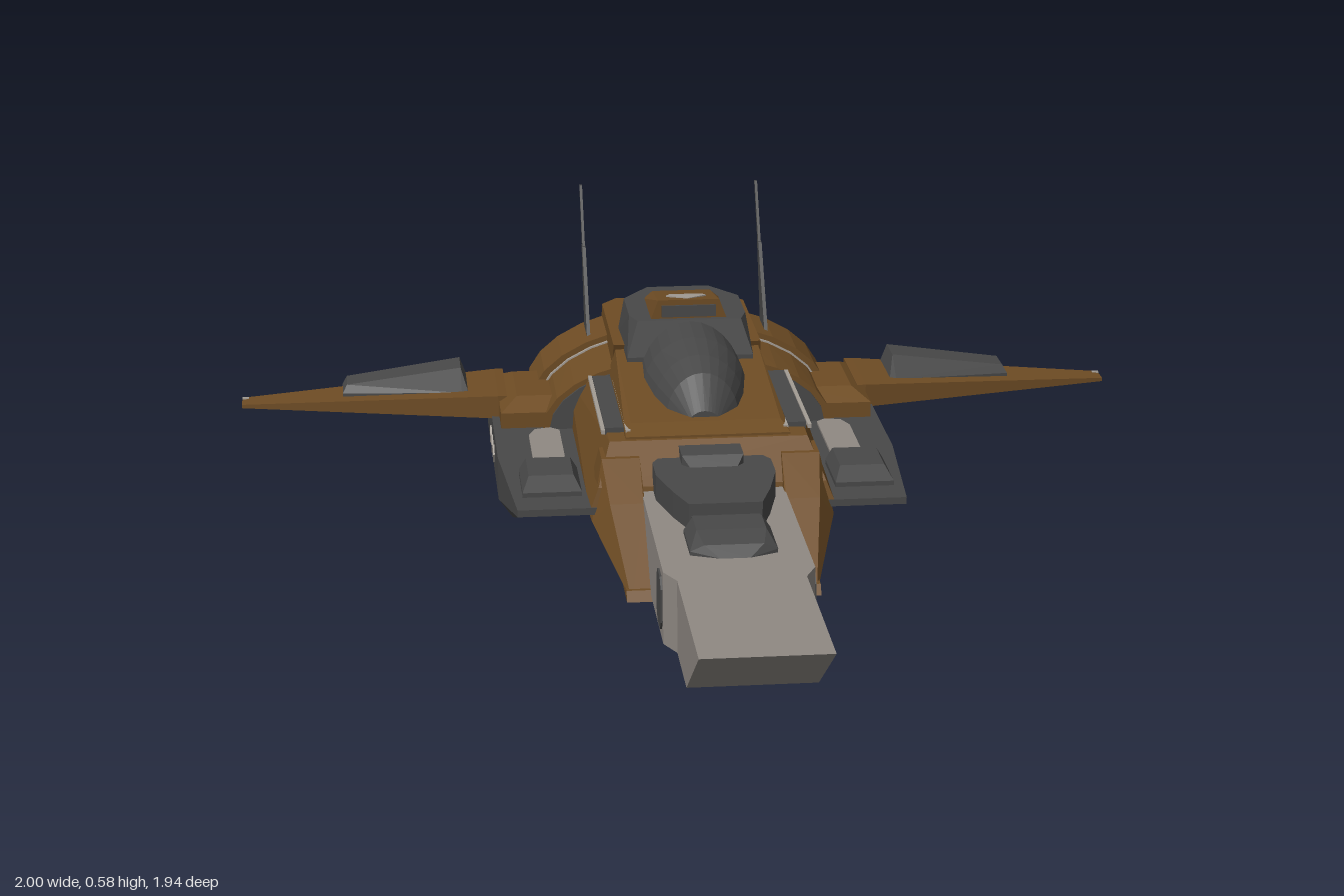
import * as THREE from 'three';
import { ConvexGeometry } from 'three/addons/geometries/ConvexGeometry.js';

const paint = (name, color) => {
  const m = new THREE.MeshStandardMaterial({ color });
  m.name = name;
  return m;
};

export function createModel() {
  const model = new THREE.Group();
  const brown = paint('brown hull', 0x6e4c24);
  const dark = paint('dark grey armour', 0x484848);
  const light = paint('light grey metal', 0x8f8983);
  const trim = paint('pale trim', 0xa39c94);

  // Convex faceted solid from corner points
  const solid = (name, mat, pts) => {
    const mesh = new THREE.Mesh(new ConvexGeometry(pts.map(p => new THREE.Vector3(...p))), mat);
    mesh.name = name;
    model.add(mesh);
  };
  // Same solid on both sides
  const pair = (name, mat, pts) => {
    solid(name + 'Left', mat, pts);
    solid(name + 'Right', mat, pts.map(([x, y, z]) => [-x, y, z]));
  };
  // Side profile of [z, y] points spanning x0..x1
  const slab = (x0, x1, prof) => prof.flatMap(([z, y]) => [[x0, y, z], [x1, y, z]]);
  // Plan outline of [x, z] points spanning y0..y1
  const plan = (y0, y1, outline) => outline.flatMap(([x, z]) => [[x, y0, z], [x, y1, z]]);
  const box = (x0, x1, y0, y1, z0, z1) => slab(x0, x1, [[z0, y0], [z0, y1], [z1, y0], [z1, y1]]);
  // Half-ellipse cross-section at z
  const arch = (w, y0, y1, z, n = 14) => Array.from({ length: n + 1 }, (_, i) => {
    const a = Math.PI * i / n;
    return [w * Math.cos(a), y0 + (y1 - y0) * Math.sin(a), z];
  });
  const both = (pts) => [...pts, ...pts.map(([x, y, z]) => [-x, y, z])];

  // Prow blade
  solid('prowBase', light, both(box(0.1, 0.15, 0.01, 0.16, -0.1, 0.51)));
  solid('prowTaper', light, both([
    [0.15, 0.01, 0.51], [0.15, 0.16, 0.51], [0.127, 0.01, 0.56], [0.127, 0.16, 0.56]]));
  solid('prowTip', light, both([
    [0.127, 0.01, 0.56], [0.127, 0.16, 0.56], [0.127, 0.01, 0.74], [0.127, 0.16, 0.97]]));
  pair('prowHatch', dark, plan(0, 0, []).concat(
    slab(0.148, 0.154, [[0.41, 0.05], [0.43, 0.03], [0.48, 0.03], [0.5, 0.05],
      [0.5, 0.12], [0.48, 0.14], [0.43, 0.14], [0.41, 0.12]])));

  // Belly plate and sloped cheeks beside the prow
  solid('bellyPlate', brown, both([
    [0.2, 0, 0.25], [0.2, 0, -0.67], [0.2, 0.04, -0.67], [0.2, 0.02, 0.235]]));
  pair('cheek', brown, [
    [0.14, 0, 0.25], [0.19, 0, 0.25], [0.2, 0, -0.1], [0.14, 0, -0.1],
    [0.15, 0.15, 0.07], [0.22, 0.15, 0.07], [0.255, 0.1, 0.03], [0.26, 0.1, -0.1],
    [0.15, 0.22, -0.02], [0.23, 0.22, -0.02], [0.23, 0.22, -0.1], [0.15, 0.22, -0.1]]);

  // Wide lower deck with two forward pods
  solid('lowerDeck', dark, both(box(0.2, 0.435, 0.035, 0.13, -0.88, -0.32)));
  pair('deckPod', dark, [
    ...slab(0.2, 0.41, [[0.03, 0.13], [0.03, 0.115], [-0.2, 0.035]]),
    ...slab(0.2, 0.435, [[-0.32, 0.035], [-0.32, 0.13]])]);
  pair('podBox', dark, [
    ...box(0.27, 0.395, 0.13, 0.14, -0.21, -0.05), ...box(0.285, 0.38, 0.13, 0.165, -0.21, -0.09)]);
  const patch = [[0.29, -0.49], [0.31, -0.51], [0.345, -0.5], [0.36, -0.46],
    [0.36, -0.27], [0.34, -0.23], [0.31, -0.23], [0.29, -0.26]];
  pair('deckPatch', light, plan(0.128, 0.136, patch));
  pair('undersidePatch', light, plan(0.031, 0.037, patch));
  for (const z of [-0.51, -0.58, -0.65]) {
    pair('sideLamp', trim, slab(0.432, 0.439, [[z - 0.014, 0.08], [z, 0.1], [z + 0.014, 0.08], [z, 0.058]]));
  }

  // Main hull, stepped up toward the stern
  solid('mainHull', brown, both([
    ...slab(0, 0.26, [[0.03, 0.12], [-0.7, 0.12]]),
    [0.24, 0.17, 0.02], [0.255, 0.19, -0.7],
    [0.21, 0.245, -0.06], [0.22, 0.25, -0.7]]));
  solid('cockpitDeck', brown, both([
    ...box(0, 0.175, 0.2, 0.25, -0.54, -0.07), [0.16, 0.265, -0.12], [0.16, 0.31, -0.54]]));
  pair('sideRail', dark, [...box(0.175, 0.215, 0.24, 0.256, -0.5, -0.12)]);
  pair('deckTrim', trim, box(0.216, 0.224, 0.248, 0.257, -0.5, -0.1));
  pair('innerTrim', trim, box(0.163, 0.173, 0.25, 0.259, -0.45, -0.09));
  solid('frontTrim', trim, box(-0.17, 0.17, 0.248, 0.256, -0.1, -0.09));

  // Arched engine housing
  solid('engineArchFront', brown, [...arch(0.325, 0.13, 0.3, -0.7), ...arch(0.325, 0.13, 0.29, -0.52)]);
  solid('engineArchFace', dark, [...arch(0.31, 0.13, 0.28, -0.521), ...arch(0.31, 0.13, 0.28, -0.513)]);
  solid('engineArchRear', brown, [...arch(0.345, 0.13, 0.315, -0.86), ...arch(0.345, 0.13, 0.315, -0.7)]);
  solid('archBand', trim, [...arch(0.329, 0.13, 0.303, -0.7), ...arch(0.329, 0.13, 0.303, -0.692)]);

  // Tail block leaning outward at its foot
  solid('tailBlock', brown, both([
    [0.17, 0.125, -0.92], [0.13, 0.125, -0.97], [0.17, 0.125, -0.6],
    [0.165, 0.32, -0.86], [0.13, 0.32, -0.905], [0.165, 0.32, -0.52]]));
  solid('tailEmblem', trim, plan(0.318, 0.325, [
    [-0.05, -0.89], [0.05, -0.89], [0.05, -0.86], [0, -0.82], [-0.05, -0.86]]));

  // Cockpit canopy, housing and roof scoop
  solid('canopy', dark, [
    ...arch(0.115, 0.25, 0.385, -0.47), ...arch(0.117, 0.25, 0.38, -0.36),
    ...arch(0.1, 0.25, 0.37, -0.26), ...arch(0.078, 0.25, 0.35, -0.19), ...arch(0.035, 0.25, 0.28, -0.14)]);
  solid('cockpitHousing', dark, both([
    ...plan(0.25, 0.31, [[0.14, -0.45], [0.145, -0.66], [0.08, -0.75], [0.01, -0.81]]),
    ...plan(0.31, 0.388, [[0.115, -0.47], [0.13, -0.52], [0.13, -0.66], [0.07, -0.75]])]));
  solid('roofScoop', brown, both([
    [0.085, 0.385, -0.485], [0.068, 0.43, -0.485], [0.085, 0.385, -0.665], [0.065, 0.402, -0.665]]));
  solid('scoopMouth', dark, both(box(0, 0.06, 0.392, 0.418, -0.486, -0.48)));
  solid('scoopEmblem', trim, both([
    [0, 0.428, -0.505], [0.045, 0.424, -0.545], [0.035, 0.42, -0.57], [0, 0.424, -0.55],
    [0, 0.42, -0.505], [0.045, 0.416, -0.545]]));

  // Stepped equipment deck along the nose
  solid('noseDeckRear', dark, both(plan(0.15, 0.215, [[0.09, -0.07], [0.125, 0.0], [0.125, 0.08], [0.1, 0.19], [0.075, 0.27]])));
  solid('noseHatch', dark, both([...box(0, 0.065, 0.2, 0.235, -0.08, 0.02), [0.05, 0.215, 0.04]]));
  solid('noseDeckBridge', dark, both(box(0, 0.07, 0.15, 0.19, 0.25, 0.32)));
  solid('noseDeckFront', dark, both([
    ...box(0, 0.088, 0.15, 0.168, 0.29, 0.42), ...box(0, 0.07, 0.15, 0.195, 0.29, 0.37),
    [0.03, 0.16, 0.445], [0.06, 0.182, 0.425]]));

  // Wings with roots and armoured blisters
  pair('wingRoot', brown, [
    ...box(0.25, 0.418, 0.125, 0.165, -0.83, -0.53), ...box(0.25, 0.38, 0.13, 0.19, -0.77, -0.58)]);
  pair('wing', brown, [
    ...box(0.4, 0.42, 0.125, 0.178, -0.835, -0.62), ...box(0.99, 1, 0.128, 0.136, -0.805, -0.75)]);
  pair('wingBlister', dark, [
    ...box(0.485, 0.5, 0.14, 0.17, -0.83, -0.68), ...box(0.75, 0.77, 0.14, 0.16, -0.815, -0.735),
    [0.5, 0.212, -0.825], [0.5, 0.212, -0.74], [0.76, 0.178, -0.815], [0.76, 0.178, -0.745]]);
  pair('wingtipMark', trim, box(0.985, 1, 0.134, 0.139, -0.8, -0.79));

  // Swept antenna blades
  pair('antennaFoot', dark, slab(0.201, 0.209, [[-0.74, 0.27], [-0.83, 0.27], [-0.895, 0.455], [-0.87, 0.455]]));
  pair('antennaTip', dark, slab(0.202, 0.208, [[-0.87, 0.44], [-0.9, 0.455], [-0.965, 0.58], [-0.955, 0.58]]));

  return model;
}
